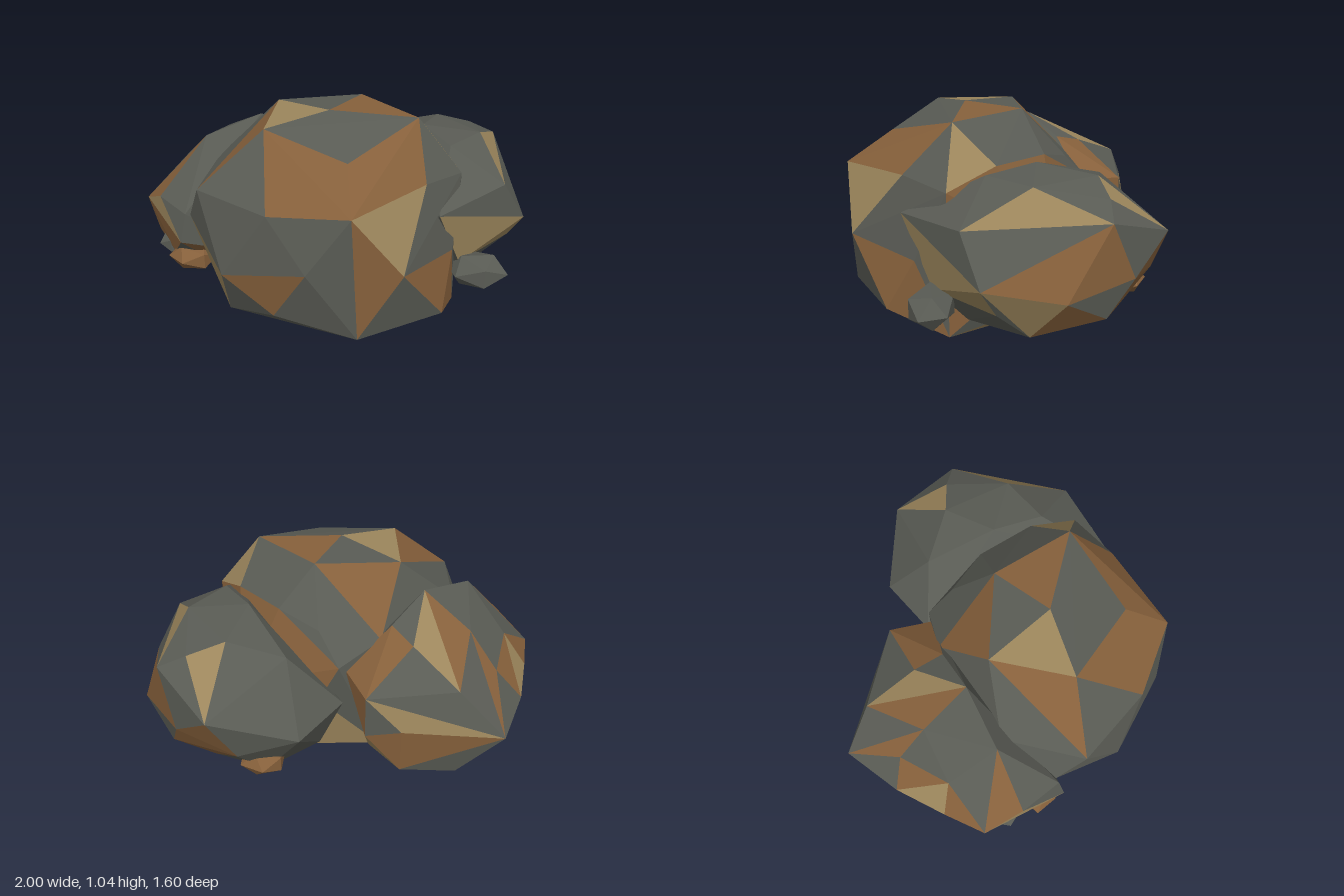
import * as THREE from 'three';
import { ConvexGeometry } from 'three/addons/geometries/ConvexGeometry.js';

const stone = (color) => new THREE.MeshStandardMaterial({ color, flatShading: true });
const materials = { grey: stone(0x595b54), brown: stone(0x86603b), tan: stone(0x9c865c) };

// Small seeded generator, so the mottling is always the same
function seeded(seed) {
  let s = seed;
  return () => (s = (s * 16807) % 2147483647) / 2147483647;
}

// Boulder: hull of a few chiselled corners, its facets split by stone colour
function boulder(name, corners, seed) {
  const hull = new ConvexGeometry(corners.map((c) => new THREE.Vector3(...c)));
  const pos = hull.attributes.position.array;
  const random = seeded(seed);
  const facets = { grey: [], brown: [], tan: [] };
  for (let i = 0; i < pos.length; i += 9) {
    const r = random();
    const tone = r < 0.55 ? 'grey' : r < 0.87 ? 'brown' : 'tan';
    facets[tone].push(...pos.slice(i, i + 9));
  }
  const group = new THREE.Group();
  group.name = name;
  for (const tone in facets) {
    const geometry = new THREE.BufferGeometry();
    geometry.setAttribute('position', new THREE.Float32BufferAttribute(facets[tone], 3));
    geometry.computeVertexNormals();
    const mesh = new THREE.Mesh(geometry, materials[tone]);
    mesh.name = `${name} ${tone} facets`;
    group.add(mesh);
  }
  return group;
}

// Pebble: squashed low-poly ball
function pebble(name, [x, y, z], [rx, ry, rz], tone, turn) {
  const geometry = new THREE.IcosahedronGeometry(1, 0).rotateY(turn).scale(rx, ry, rz);
  const mesh = new THREE.Mesh(geometry, materials[tone]);
  mesh.position.set(x, y, z);
  mesh.name = name;
  return mesh;
}

// Corners run from the crown down to the foot
const frontCorners = [
  [0.01, 1.045, 0.19], [0.13, 1.035, -0.11], [0.44, 1.03, 0.19], [-0.29, 1.01, -0.03], [-0.27, 1.0, 0.38],
  [0.15, 0.92, 0.54], [0.5, 0.79, 0.42], [0.2, 0.76, 0.77], [-0.19, 0.72, 0.72], [-0.57, 0.73, 0.52],
  [-0.58, 0.74, 0.1], [-0.2, 0.74, -0.32], [0, 0.65, -0.44], [0.1, 0.79, -0.33], [0.3, 0.85, -0.23],
  [0.52, 0.85, -0.02], [0.66, 0.76, 0.19], [-0.66, 0.53, 0.4],
  [0, 0.48, 0.8], [0.43, 0.46, 0.7], [0.64, 0.42, 0.35], [0.48, 0.45, -0.3], [0.1, 0.45, -0.43], [-0.42, 0.38, 0.69],
  [-0.61, 0.38, 0.4], [-0.64, 0.42, 0.02], [0.23, 0.13, 0.75], [-0.17, 0.2, 0.72], [0.61, 0.15, 0.5], [0.66, 0.04, 0.19],
  [-0.43, 0.11, 0.56], [-0.48, 0.09, 0.22], [-0.2, 0.12, -0.36], [0.3, 0.12, -0.39], [0.05, 0.04, -0.27],
  [-0.36, 0, 0.4], [0.1, 0, 0.53], [0.37, 0, 0.42], [0.35, 0, -0.13], [-0.3, 0, -0.12],
];
const rightCorners = [
  [0.45, 0.855, -0.2], [0.75, 0.83, -0.2], [0.52, 0.82, -0.48], [0.6, 0.83, 0.02], [0.24, 0.75, -0.5],
  [0.7, 0.77, -0.53], [0.84, 0.71, -0.54], [0.88, 0.67, 0.1], [0.57, 0.63, 0.42], [0.58, 0.59, -0.8],
  [-0.02, 0.46, -0.46], [0.17, 0.45, -0.74], [1, 0.45, 0], [0.98, 0.4, -0.36], [0.76, 0.43, -0.65],
  [0.46, 0.36, -0.75], [0.68, 0.3, 0.26], [0.93, 0.31, -0.06], [0.82, 0.26, -0.53],
  [0.87, 0.18, -0.2], [0.66, 0.14, 0.1], [0.62, 0.14, -0.5], [0.35, 0.15, -0.6], [0.1, 0.17, -0.42], [0.3, 0.15, 0],
];
const leftCorners = [
  [-0.41, 0.9, -0.11], [-0.25, 0.8, -0.28], [-0.65, 0.84, 0.1], [-0.63, 0.77, -0.27], [-0.35, 0.76, -0.4],
  [-0.83, 0.65, -0.1], [-0.76, 0.61, -0.37], [-0.56, 0.65, -0.6], [-0.13, 0.61, -0.62], [-0.03, 0.62, -0.41],
  [-0.68, 0.54, 0.42], [-0.86, 0.56, 0.28], [-1, 0.47, 0.12], [-0.96, 0.46, -0.1], [-0.9, 0.45, -0.37],
  [-0.78, 0.44, -0.67], [-0.3, 0.45, -0.66], [-0.13, 0.4, -0.63], [-0.7, 0.4, 0.46], [-0.96, 0.27, 0.1],
  [-0.8, 0.25, 0.3], [-0.85, 0.17, -0.05], [-0.82, 0.18, -0.37], [-0.57, 0.19, -0.63], [-0.3, 0.2, -0.64],
  [-0.6, 0.14, 0.2], [-0.6, 0.14, -0.35], [-0.15, 0.16, -0.42], [-0.25, 0.15, 0.1],
];

export function createModel() {
  const model = new THREE.Group();
  model.name = 'rockCluster';
  model.add(
    boulder('frontBoulder', frontCorners, 90217),
    boulder('rightBoulder', rightCorners, 52361),
    boulder('leftBoulder', leftCorners, 35083),
    pebble('rightPebble', [0.77, 0.26, 0.25], [0.16, 0.095, 0.12], 'grey', 0.3),
    pebble('leftPebble', [-0.69, 0.255, 0.33], [0.13, 0.075, 0.1], 'brown', 0.8),
    pebble('leftOuterPebble', [-0.85, 0.25, 0.17], [0.08, 0.065, 0.1], 'grey', 0.1),
    pebble('backPebble', [0.36, 0.25, -0.64], [0.12, 0.075, 0.1], 'brown', 1.1),
  );
  return model;
}
